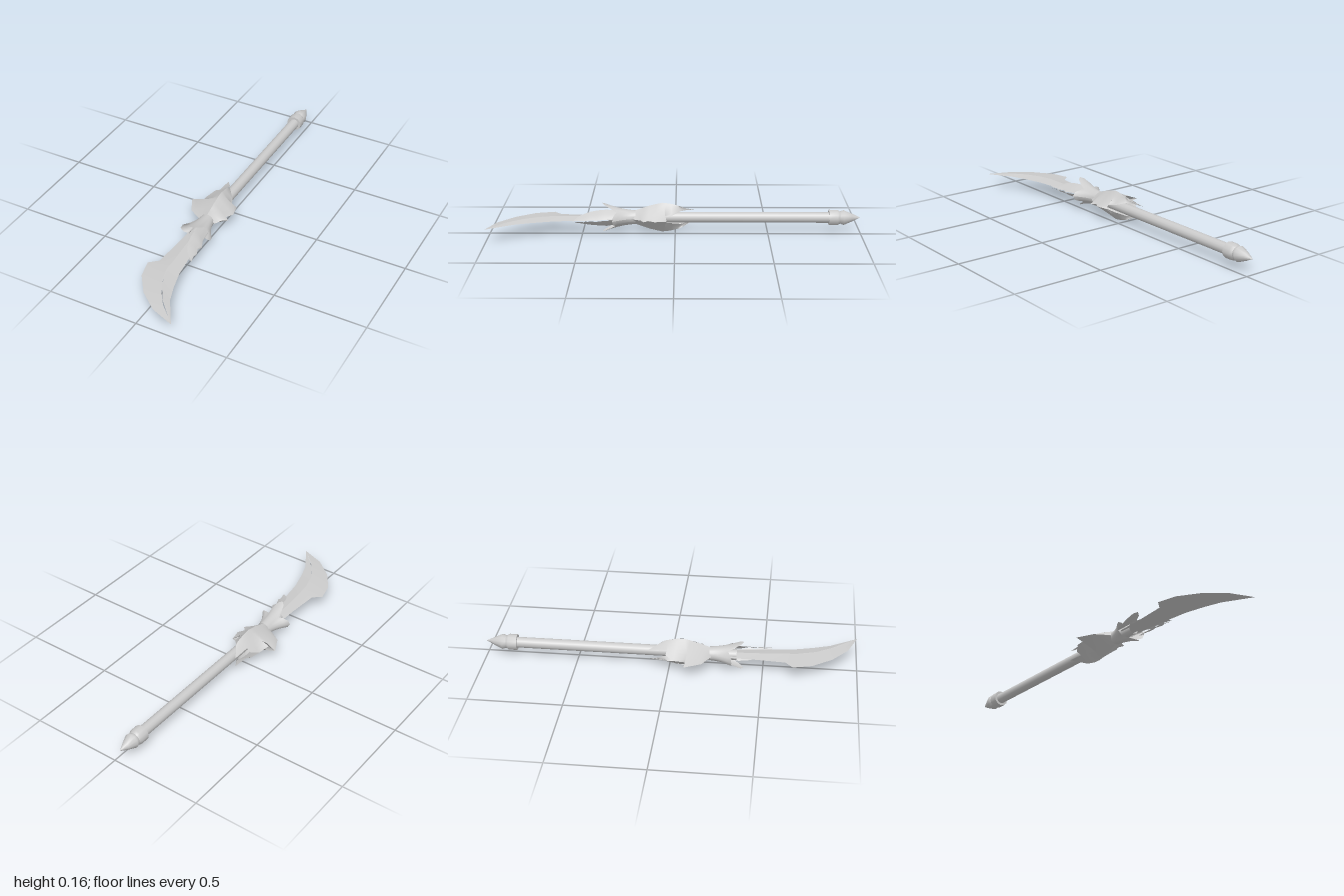
import * as THREE from 'three';

const CX = -0.037, CY = 0.081; // axis of the shaft

const mat = new THREE.MeshStandardMaterial({ color: 0xcccccc, side: THREE.DoubleSide });

function gridGeometry(rows, flip) {
  const n = rows[0].length, pos = rows.flat(2), idx = [];
  for (let i = 0; i < rows.length - 1; i++) {
    for (let j = 0; j < n - 1; j++) {
      const a = i * n + j, b = a + 1, c = a + n, d = c + 1;
      if (flip) idx.push(a, c, b, b, c, d);
      else idx.push(a, b, c, b, d, c);
    }
  }
  const g = new THREE.BufferGeometry();
  g.setAttribute('position', new THREE.Float32BufferAttribute(pos, 3));
  g.setIndex(idx);
  g.computeVertexNormals();
  return g;
}

// Two mirrored sheets, each running from a raised spine down to a jagged edge.
// rows: { edge: [x, z, height], spine: [x, z, height] }
function shell(name, rows, steps, power = 1) {
  const group = new THREE.Group();
  group.name = name;
  for (const s of [1, -1]) {
    const grid = rows.map(({ edge, spine }) => {
      const line = [];
      for (let j = 0; j <= steps; j++) {
        const t = j / steps, h = edge[2] + (spine[2] - edge[2]) * Math.pow(1 - t, power);
        line.push([
          THREE.MathUtils.lerp(spine[0], edge[0], t),
          CY + s * h,
          THREE.MathUtils.lerp(spine[1], edge[1], t)
        ]);
      }
      return line;
    });
    const m = new THREE.Mesh(gridGeometry(grid, s < 0), mat);
    m.name = name + (s > 0 ? 'Top' : 'Bottom');
    group.add(m);
  }
  return group;
}

// piecewise linear lookup in [z, value] pairs with rising z
function lookup(table, z) {
  for (let i = 1; i < table.length; i++) {
    const [z0, v0] = table[i - 1], [z1, v1] = table[i];
    if (z <= z1) return THREE.MathUtils.mapLinear(Math.max(z, z0), z0, z1, v0, v1);
  }
  return table[table.length - 1][1];
}

function turned(name, profile, sides) {
  const g = new THREE.LatheGeometry(profile.map(p => new THREE.Vector2(...p)), sides);
  g.rotateX(Math.PI / 2);
  const m = new THREE.Mesh(g, mat);
  m.name = name;
  m.position.set(CX, CY, 0);
  return m;
}

export function createModel() {
  const model = new THREE.Group();
  model.name = 'glaive';

  // shaft and pointed end cap
  model.add(turned('shaft', [[0.029, -0.85], [0.029, 0.36]], 14));
  model.add(turned('capBand', [[0.034, -0.89], [0.043, -0.875], [0.043, -0.83]], 12));
  model.add(turned('capRim', [[0.043, -0.83], [0.028, -0.83]], 12));
  model.add(turned('capPoint', [[0, -1], [0.022, -0.955], [0.041, -0.91], [0.034, -0.89]], 12));

  // ragged mane: edge x, edge z, edge height, spine z
  const maneHeight = [[-0.06, 0.045], [-0.02, 0.064], [0.03, 0.077], [0.07, 0.081],
    [0.13, 0.068], [0.18, 0.05], [0.225, 0.035]];
  const mane = [
    [0.01, 0.225, 0, 0.225], [0.03, 0.185, 0, 0.195], [0.06, 0.168, 0, 0.17],
    [0.038, 0.145, 0, 0.14], [0.06, 0.11, 0, 0.1], [0.048, 0.045, 0, 0.07],
    [0.022, 0.065, 0.012, 0.045], [0.01, 0.02, 0.02, 0.02], [-0.03, -0.03, 0.036, -0.01],
    [-0.06, -0.065, 0.034, -0.03], [-0.085, -0.11, 0.026, -0.04], [-0.088, -0.01, 0.032, -0.02],
    [-0.115, -0.015, 0.018, 0.005], [-0.14, 0.03, 0, 0.04], [-0.148, 0.106, 0, 0.08],
    [-0.2, 0.09, 0, 0.11], [-0.155, 0.18, 0, 0.17], [-0.08, 0.225, 0, 0.225]
  ].map(([x, z, h, sz]) => ({ edge: [x, z, h], spine: [CX, sz, lookup(maneHeight, sz)] }));
  model.add(shell('mane', mane, 6, 1.05));

  // flared collar with four spikes
  const collar = [];
  for (let k = 0; k <= 24; k++) {
    const a = k / 24 * Math.PI * 2;
    const upright = Math.abs(Math.sin(a)) > Math.SQRT1_2;
    const spike = Math.pow(Math.abs(Math.cos(2 * a)), 1.5);
    const rEnd = 0.05 + spike * (upright ? 0.031 : 0.043);
    const zEnd = 0.315 + spike * (upright ? 0.082 : 0.022);
    const line = [];
    for (let j = 0; j <= 5; j++) {
      const t = j / 5, r = THREE.MathUtils.lerp(0.037, rEnd, t * t * 0.7 + t * 0.3);
      line.push([CX + r * Math.cos(a), CY + r * Math.sin(a), THREE.MathUtils.lerp(0.215, zEnd, t)]);
    }
    collar.push(line);
  }
  const collarMesh = new THREE.Mesh(gridGeometry(collar, true), mat);
  collarMesh.name = 'spikedCollar';
  model.add(collarMesh);

  // barbed guard wrapped round one edge of the blade: edge x, z, inner x, z, height
  const guard = [
    [0.055, 0.55, 0.05, 0.545, 0.004], [0.045, 0.505, 0.012, 0.515, 0.02],
    [0.052, 0.49, 0.0, 0.49, 0.028], [0.036, 0.45, -0.012, 0.46, 0.036],
    [0.046, 0.425, -0.02, 0.42, 0.042], [0.026, 0.38, -0.024, 0.37, 0.046],
    [0.015, 0.3, -0.03, 0.3, 0.036]
  ].map(([x, z, sx, sz, h]) => ({ edge: [x, z, 0.003], spine: [sx, sz, h] }));
  model.add(shell('barbedGuard', guard, 4, 0.8));

  // curved blade: edge x, z, ridge x, z, half thickness
  const blade = [
    [-0.075, 0.3, -0.035, 0.3, 0.01], [-0.078, 0.45, -0.03, 0.45, 0.01],
    [-0.09, 0.62, -0.02, 0.6, 0.01], [-0.135, 0.66, -0.02, 0.66, 0.01],
    [-0.11, 0.76, 0.0, 0.74, 0.01], [-0.035, 0.865, 0.04, 0.82, 0.01],
    [0.07, 0.95, 0.1, 0.905, 0.008], [0.2, 1.0, 0.18, 0.98, 0.002],
    [0.11, 0.855, 0.075, 0.865, 0.009], [0.078, 0.765, 0.02, 0.78, 0.01],
    [0.05, 0.66, -0.01, 0.68, 0.01], [0.03, 0.5, -0.025, 0.5, 0.01],
    [0.01, 0.3, -0.035, 0.3, 0.01]
  ].map(([x, z, sx, sz, h]) => ({ edge: [x, z, 0], spine: [sx, sz, h] }));
  model.add(shell('blade', blade, 2));

  return model;
}
